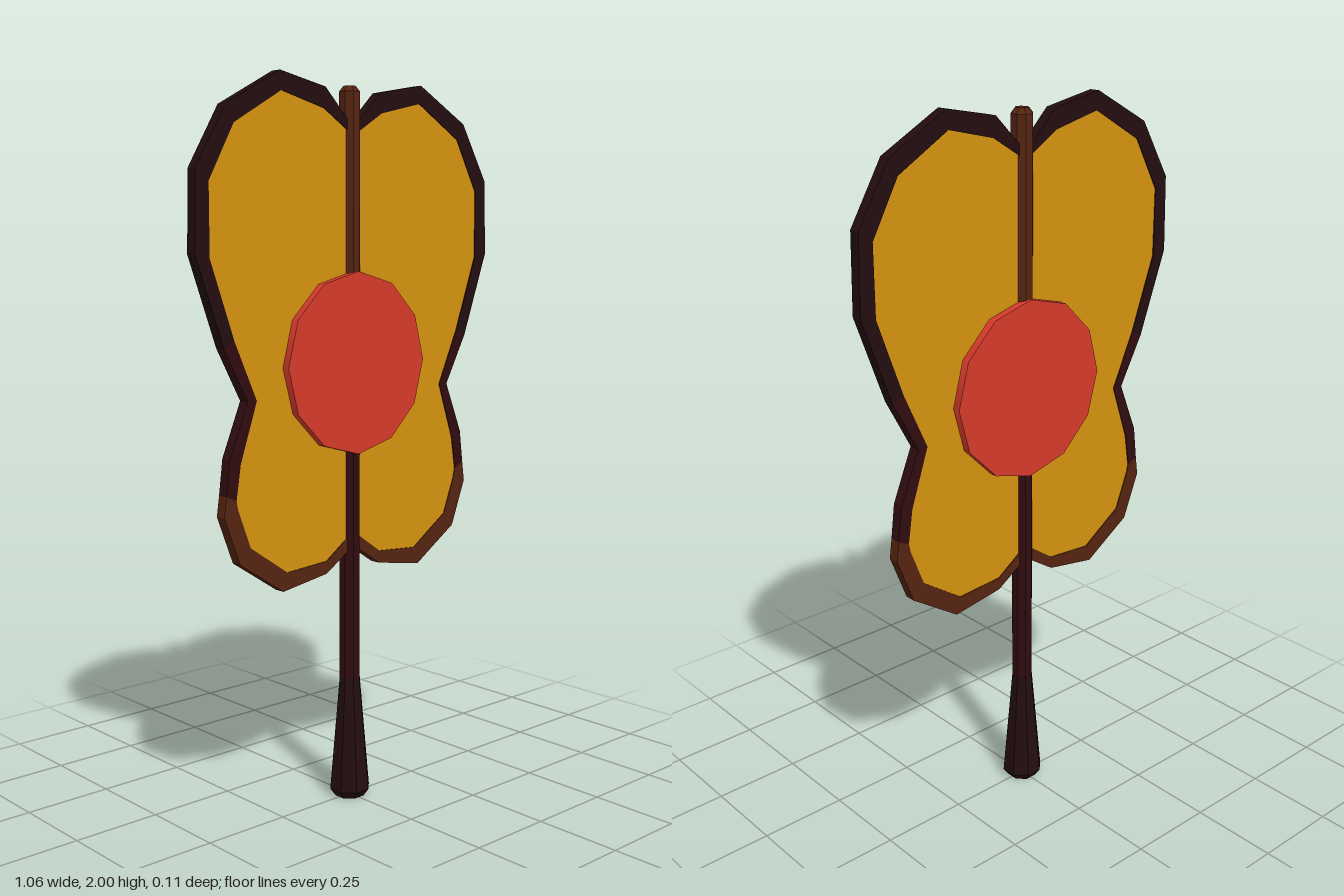
import * as THREE from 'three';

const mat = (name, color) => {
  const m = new THREE.MeshStandardMaterial({ color });
  m.name = name;
  return m;
};

export function createModel() {
  const gold = mat('gold', 0xd4930f);
  const red = mat('red', 0xd63a2a);
  const ebony = mat('ebony', 0x220d10);
  const maroon = mat('maroon', 0x300c10);
  const brown = mat('brown', 0x552411);

  const group = new THREE.Group();
  const add = (name, geometry, material) => {
    const mesh = new THREE.Mesh(geometry, material);
    mesh.name = name;
    group.add(mesh);
    return mesh;
  };

  // Half outline of the wing pair, top notch to bottom notch: outer x, y, inner x, y
  const rim = [
    [0, 1.87, 0, 1.85],
    [0.10, 1.97, 0.105, 1.915],
    [0.255, 2.0, 0.25, 1.95],
    [0.43, 1.905, 0.405, 1.86],
    [0.525, 1.745, 0.485, 1.715],
    [0.53, 1.535, 0.485, 1.525],
    [0.445, 1.30, 0.41, 1.315],
    [0.37, 1.16, 0.34, 1.16],
    [0.43, 1.015, 0.395, 1.0],
    [0.442, 0.92, 0.41, 0.905],
    [0.45, 0.865, 0.405, 0.88],
    [0.40, 0.735, 0.365, 0.775],
    [0.255, 0.64, 0.24, 0.69],
    [0.10, 0.665, 0.10, 0.70],
    [0, 0.73, 0, 0.77],
  ];

  // Flat plate centred on z = 0
  const plate = (points, depth) => {
    const shape = new THREE.Shape(points.map(([x, y]) => new THREE.Vector2(x, y)));
    return new THREE.ExtrudeGeometry(shape, { depth, bevelEnabled: false })
      .translate(0, 0, -depth / 2);
  };

  // Rim bands: first point, last point, material
  const bands = [
    ['upperRim', 0, 6, ebony],
    ['waistRim', 6, 9, maroon],
    ['lowerRim', 9, 14, brown],
  ];

  for (const [side, s] of [['left', 1], ['right', -1]]) {
    add(side + 'WingPanel', plate(rim.map(p => [s * p[2], p[3]]), 0.027), gold);
    for (const [name, a, b, material] of bands) {
      const part = rim.slice(a, b + 1);
      const outer = part.map(p => [s * p[0], p[1]]);
      const inner = part.map(p => [s * p[2], p[3]]).reverse();
      add(side + name[0].toUpperCase() + name.slice(1), plate([...outer, ...inner], 0.032), material);
    }
  }

  // Eight-sided faceted rod from radius, height pairs
  const rod = (profile) => {
    const g = new THREE.LatheGeometry(profile.map(([r, y]) => new THREE.Vector2(r, y)), 8, Math.PI / 8)
      .toNonIndexed();
    g.computeVertexNormals();
    return g;
  };
  add('handle', rod([[0, 0], [0.043, 0], [0.059, 0.022], [0.03, 0.35]]), ebony);
  add('lowerStick', rod([[0.03, 0.35], [0.03, 1.24]]), maroon);
  add('upperStick', rod([[0.03, 1.24], [0.03, 1.965], [0.018, 1.98], [0, 1.98]]), brown);

  // Twelve-sided disc on both faces
  add('centreDisc', new THREE.CylinderGeometry(0.25, 0.25, 0.074, 12)
    .rotateX(Math.PI / 2).translate(0, 1.24, 0), red);

  return group;
}
